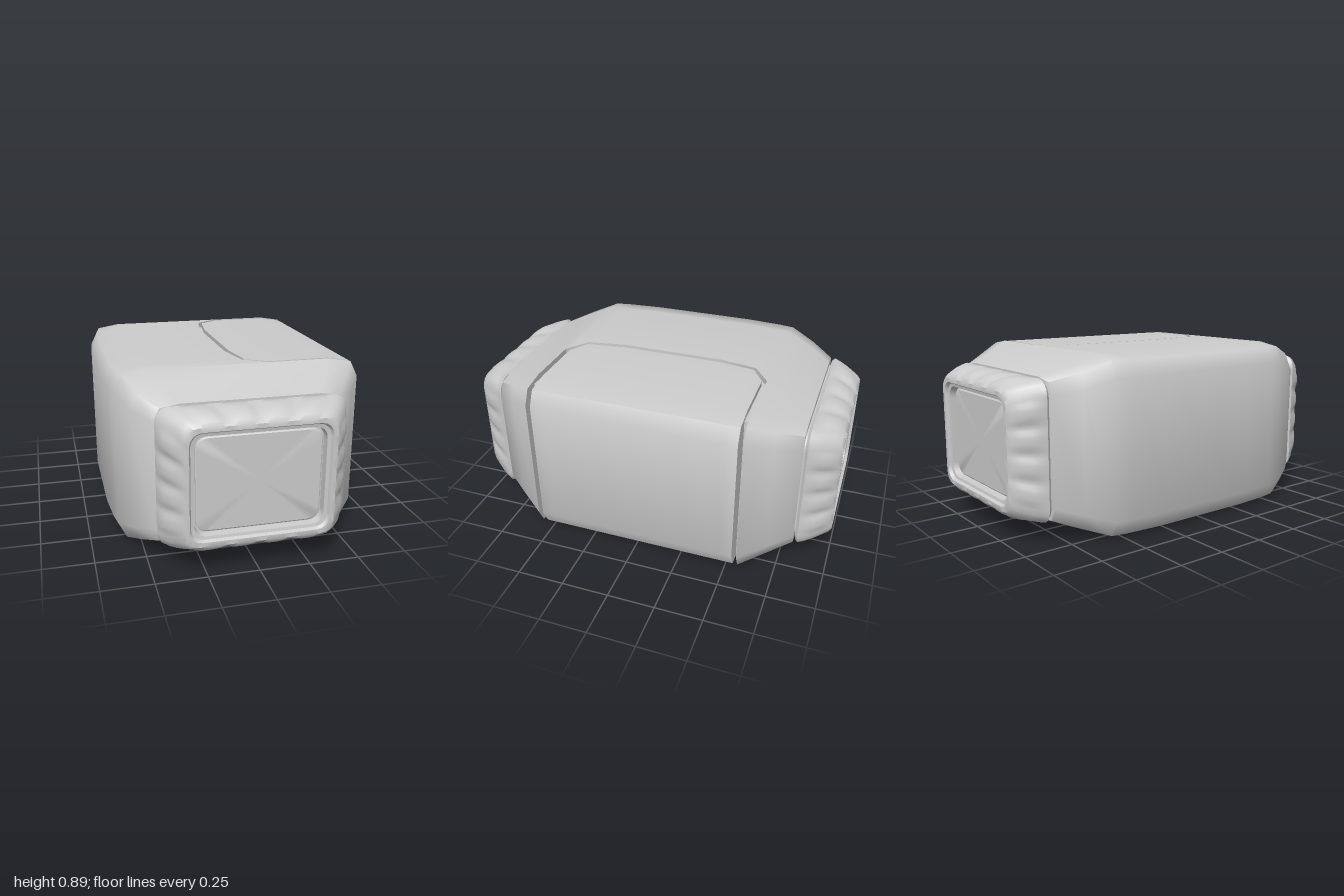
import * as THREE from 'three';
import { toCreasedNormals, mergeGeometries } from 'three/addons/utils/BufferGeometryUtils.js';

const MID = 0.445; // height of the centre line

// Joins counter-clockwise rings of [x, y, z], with optional flat ends.
function loft(rings, startCap, endCap) {
  const pos = [];
  const tri = (a, b, c) => pos.push(...a, ...b, ...c);
  const n = rings[0].length;
  for (let r = 0; r < rings.length - 1; r++) {
    for (let i = 0; i < n; i++) {
      const j = (i + 1) % n;
      const a = rings[r], b = rings[r + 1];
      tri(a[i], a[j], b[j]);
      tri(a[i], b[j], b[i]);
    }
  }
  const cap = (ring, flip) => {
    const c = [0, 1, 2].map(k => ring.reduce((s, p) => s + p[k], 0) / n);
    ring.forEach((p, i) => {
      const q = ring[(i + 1) % n];
      flip ? tri(c, q, p) : tri(c, p, q);
    });
  };
  if (startCap) cap(rings[0], true);
  if (endCap) cap(rings[rings.length - 1], false);
  const g = new THREE.BufferGeometry();
  g.setAttribute('position', new THREE.Float32BufferAttribute(pos, 3));
  return g;
}

// Three points of an eased corner on a side of half-width x, from flat to upright.
const corner = (x, h, k) => [[x - 0.16 * k, h], [x - 0.04 * k, h - 0.02 * k], [x, h - 0.1 * k]];

// Cross-section with each side either eased or cut off straight.
function section(z, left, right, h, k = 1, cutLeft = false, cutRight = false) {
  const r = cutRight ? [[right, h]] : corner(right, h, k);
  const l = cutLeft ? [[left, h]] : corner(-left, h, k).map(([x, y]) => [-x, y]);
  const low = p => p.map(([x, y]) => [x, -y]);
  return [...low(l).reverse(), ...low(r), ...r.reverse(), ...l]
    .map(([x, y]) => [x, y + MID, z]);
}

// Stations given for +z are repeated for -z, in rising order.
const mirrorStations = list => [...list.map(s => [-s[0], ...s.slice(1)]), ...[...list].reverse()];

// Rounded rectangle ring with four finger bumps on every side.
function gripRing([w, h, z, bump]) {
  const c = Math.min(0.07, w * 0.18), steps = 32, pts = [];
  const sides = [[0, -1, w, h], [1, 0, h, w], [0, 1, w, h], [-1, 0, h, w]];
  sides.forEach(([nx, ny, half, dist]) => {
    const tx = -ny, ty = nx; // direction of travel
    const span = half - c;
    for (let i = 0; i <= steps; i++) {
      const t = i / steps, s = (t * 2 - 1) * span;
      const d = dist + bump * (1 - Math.cos(Math.PI * 4 * t) ** 4);
      pts.push([tx * s + nx * d, ty * s + ny * d + MID, z]);
    }
    for (let i = 1; i < 4; i++) {
      const a = (i / 4) * Math.PI / 2;
      const s = span + c * Math.sin(a), d = dist - c + c * Math.cos(a);
      pts.push([tx * s + nx * d, ty * s + ny * d + MID, z]);
    }
  });
  return pts;
}

export function createModel() {
  const model = new THREE.Group();
  const mat = new THREE.MeshStandardMaterial({ color: 0xcccccc });
  const add = (name, geo, crease, parent = model) => {
    const m = new THREE.Mesh(crease ? toCreasedNormals(geo, crease) : geo, mat);
    m.name = name;
    parent.add(m);
    return m;
  };

  // Shell: middle cut back around the panel, plus two tapering ends
  const middle = mirrorStations([[0.565, -0.61, 0.165], [0.48, -0.625, 0.045], [0.28, -0.64, 0.01]])
    .map(([z, l, g]) => section(z, l, g, 0.445, 1, false, true));
  const end = [[0.565, -0.61, 0.638, 0.445, 1], [0.7, -0.555, 0.55, 0.391, 0.9], [0.818, -0.465, 0.468, 0.347, 0.8]];
  const front = end.map(s => section(...s));
  const back = end.map(([z, ...s]) => section(-z, ...s)).reverse();
  add('shell', mergeGeometries([loft(middle), loft(front, true, true), loft(back, true, true)]), 1.0);

  // Core seen at the bottom of the panel gap
  const core = add('core', new THREE.BoxGeometry(0.83, 0.83, 1.13));
  core.position.set(0.115, MID, 0);

  // Panel wrapping the top, left side and bottom
  const panel = mirrorStations([[0.54, 0.17], [0.475, 0.065], [0.27, 0.037]])
    .map(([z, p]) => section(z, p, 0.638, 0.443, 1, true, false));
  add('sidePanel', loft(panel, true, true), 0.7);

  // End frames: half-width, half-height, z, bump height
  const frame = [
    [0.43, 0.315, 0.81, 0], [0.43, 0.315, 0.826, 0], [0.45, 0.335, 0.828, 0],
    [0.46, 0.345, 0.842, 0], [0.447, 0.34, 0.87, 0.006], [0.422, 0.331, 0.91, 0.015],
    [0.394, 0.318, 0.95, 0.015], [0.37, 0.303, 0.985, 0.006], [0.357, 0.288, 1, 0],
    [0.336, 0.266, 1, 0], [0.328, 0.258, 0.985, 0], [0.312, 0.243, 0.982, 0], [0.308, 0.239, 0.945, 0]
  ].map(gripRing);
  const window = [[0.3, 0.231, 0.93, 0], [0.3, 0.231, 0.956, 0], [0.294, 0.225, 0.96, 0]].map(gripRing);
  for (const [name, turn] of [['frontEnd', 0], ['backEnd', Math.PI]]) {
    const g = new THREE.Group();
    g.name = name;
    g.rotation.y = turn;
    add('gripFrame', loft(frame, true, true), 0.7, g);
    add('facePlate', loft(window, false, true), 0.5, g);
    model.add(g);
  }
  return model;
}
